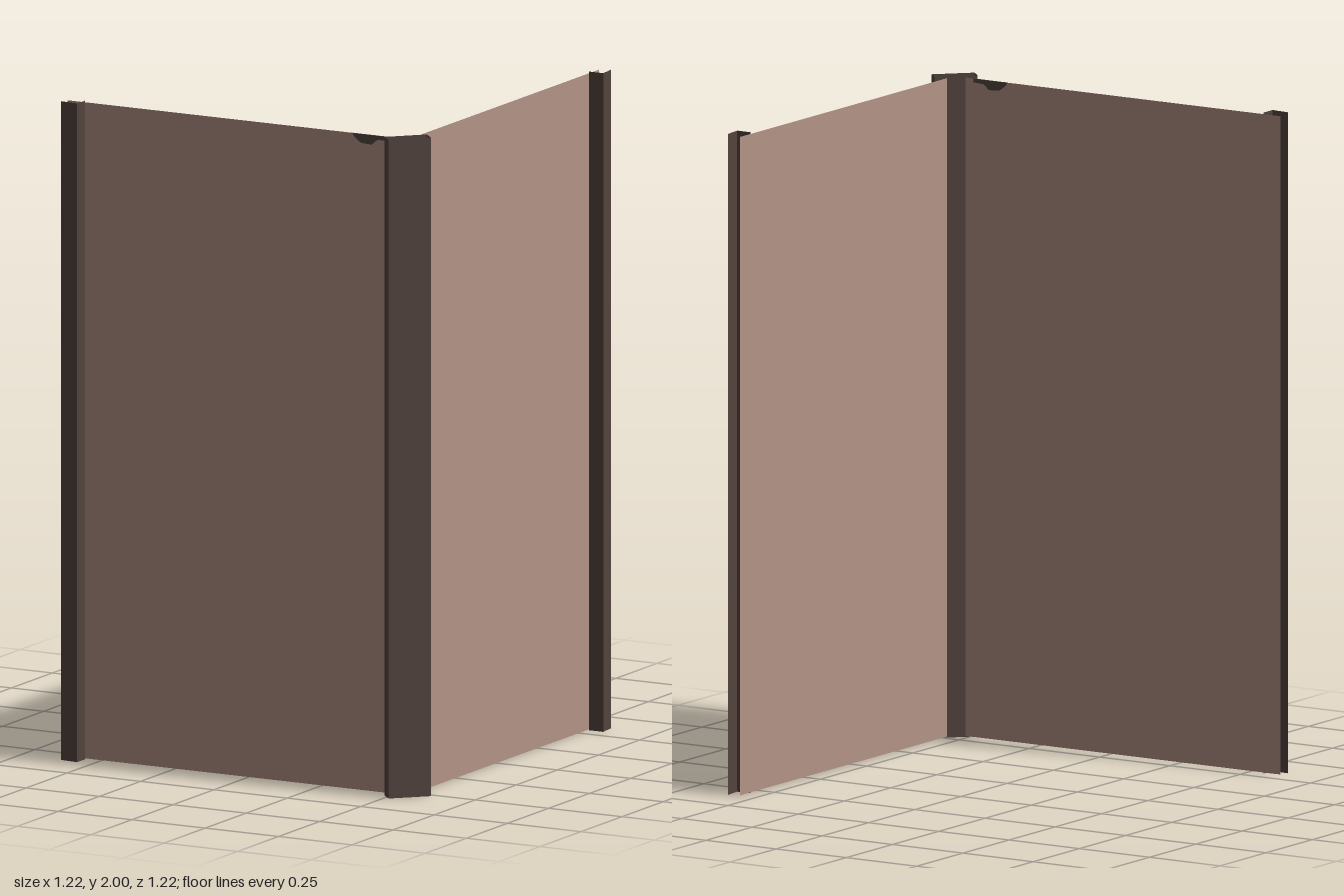
import * as THREE from 'three';

const panelMaterial = new THREE.MeshStandardMaterial({ name: 'dusty rose panel', color: 0xb39387, side: THREE.DoubleSide });
const trimMaterial = new THREE.MeshStandardMaterial({ name: 'dark brown trim', color: 0x53443e, side: THREE.DoubleSide });

// Upright folded sheet that follows a plan path of [x, z] points
function foldedSheet(name, path, y0, y1, material) {
  const positions = [];
  for (let i = 0; i < path.length - 1; i++) {
    const [ax, az] = path[i];
    const [bx, bz] = path[i + 1];
    positions.push(ax, y0, az, bx, y0, bz, bx, y1, bz);
    positions.push(ax, y0, az, bx, y1, bz, ax, y1, az);
  }
  const geometry = new THREE.BufferGeometry();
  geometry.setAttribute('position', new THREE.Float32BufferAttribute(positions, 3));
  geometry.computeVertexNormals();
  const mesh = new THREE.Mesh(geometry, material);
  mesh.name = name;
  return mesh;
}

export function createModel() {
  const model = new THREE.Group();
  model.name = 'cornerScreen';

  // Two wall sheets, each with an L-shaped edge trim, mirrored about the diagonal
  const panelPath = [[-0.61, 0.55], [0.51, 0.55]];
  const trimPath = [[-0.61, 0.592], [-0.551, 0.598], [-0.551, 0.55]];
  const swap = (path) => path.map(([x, z]) => [z, x]);
  for (const [side, place] of [['front', (p) => p], ['side', swap]]) {
    model.add(foldedSheet(side + 'Panel', place(panelPath), 0.003, 1.995, panelMaterial));
    model.add(foldedSheet(side + 'EdgeTrim', place(trimPath), 0, 2, trimMaterial));
  }

  // Hollow rectangular post set diagonally across the corner
  const postPath = [[0.484, 0.576], [0.516, 0.608], [0.608, 0.516], [0.576, 0.484], [0.484, 0.576]];
  model.add(foldedSheet('cornerPost', postPath, 0, 2, trimMaterial));

  // Small dark chip at the top of the front panel
  const chipShape = new THREE.Shape([
    [0.36, 1.995], [0.37, 1.982], [0.39, 1.968], [0.425, 1.966],
    [0.445, 1.982], [0.48, 1.984], [0.48, 1.995],
  ].map(([x, y]) => new THREE.Vector2(x, y)));
  const chip = new THREE.Mesh(
    new THREE.ExtrudeGeometry(chipShape, { depth: 0.004, bevelEnabled: false }), trimMaterial);
  chip.name = 'panelChip';
  chip.position.z = 0.548;
  model.add(chip);

  return model;
}
